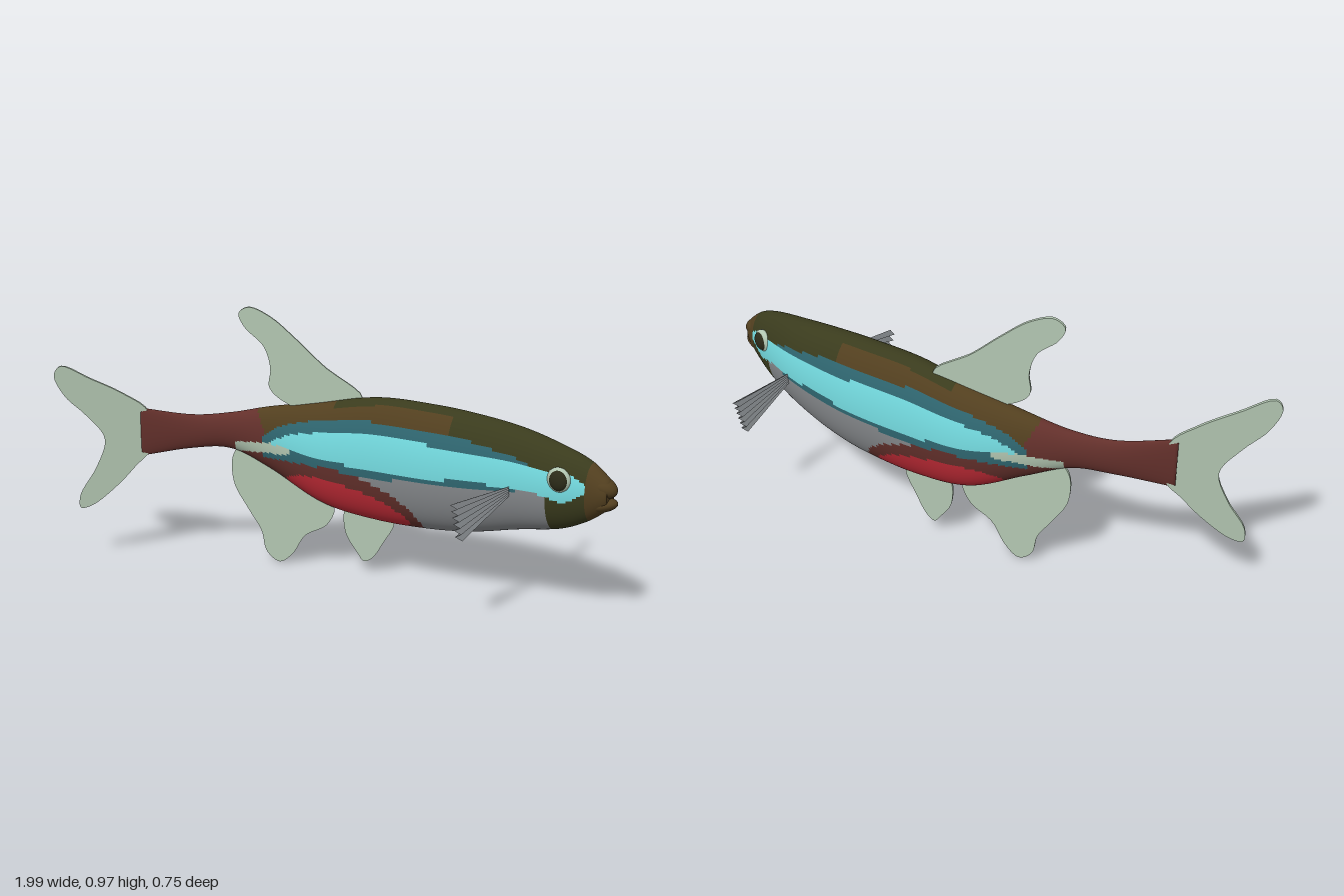
import * as THREE from 'three';

const mat = (name, color, side = THREE.FrontSide) => {
  const m = new THREE.MeshStandardMaterial({ color, side });
  m.name = name;
  return m;
};

// Piecewise linear lookup in a list of [x, y] points
function at(pts, x) {
  if (x <= pts[0][0]) return pts[0][1];
  for (let i = 1; i < pts.length; i++) {
    const [x0, y0] = pts[i - 1], [x1, y1] = pts[i];
    if (x <= x1) return y0 + (y1 - y0) * (x - x0) / (x1 - x0);
  }
  return pts[pts.length - 1][1];
}

// Body stations: x, z of the spine, half width, top, bottom
const STATIONS = [
  [-0.69, -0.347, 0.012, 0.585, 0.40], [-0.5, -0.357, 0.022, 0.56, 0.43],
  [-0.35, -0.35, 0.034, 0.572, 0.433], [-0.2, -0.325, 0.056, 0.603, 0.365],
  [0, -0.263, 0.086, 0.638, 0.255], [0.2, -0.18, 0.102, 0.677, 0.22],
  [0.4, -0.087, 0.108, 0.675, 0.22], [0.55, -0.01, 0.103, 0.662, 0.24],
  [0.69, 0.07, 0.092, 0.64, 0.278], [0.82, 0.165, 0.073, 0.605, 0.315],
  [0.9, 0.222, 0.055, 0.572, 0.36], [0.95, 0.258, 0.04, 0.53, 0.405],
  [0.965, 0.268, 0.03, 0.512, 0.425],
];
const spine = new THREE.CatmullRomCurve3(
  STATIONS.map(s => new THREE.Vector3(s[0], 0, s[1])), false, 'catmullrom', 0.5);
const sizes = new THREE.CatmullRomCurve3(
  STATIONS.map(s => new THREE.Vector3(s[2], s[3], s[4])), false, 'catmullrom', 0.5);

// Edges of the colour bands along the flank
const CYAN_TOP = [[-0.18, 0.49], [-0.1, 0.52], [0, 0.54], [0.1, 0.555], [0.25, 0.565], [0.45, 0.552], [0.65, 0.54], [0.75, 0.53], [0.86, 0.53], [0.91, 0.5]];
const CYAN_BOTTOM = [[-0.18, 0.475], [0.04, 0.443], [0.25, 0.432], [0.45, 0.44], [0.65, 0.45], [0.78, 0.445], [0.85, 0.425], [0.91, 0.47]];
const TEAL_TOP = [[-0.22, 0.5], [-0.15, 0.545], [0, 0.585], [0.2, 0.605], [0.4, 0.6], [0.55, 0.585], [0.7, 0.555], [0.77, 0.53]];
const TEAL_BOTTOM = [[-0.3, 0.42], [0, 0.415], [0.2, 0.405], [0.45, 0.42], [0.7, 0.44], [0.77, 0.45]];
const OLIVE = 0, BROWN = 1, TEAL = 2, CYAN = 3, GREY = 4, MAROON = 5, RED = 6, PALE = 7;

function skinColour(x, y, top) {
  const blob = (rx, ry) => ((x - 0.1) / rx) ** 2 + ((y - 0.285 + 0.18 * (x - 0.1)) / ry) ** 2 < 1;
  if (x > -0.18 && x < 0.91 && y < at(CYAN_TOP, x) && y > at(CYAN_BOTTOM, x)) return CYAN;
  if (x > -0.33 && x < -0.1 && Math.abs(y - 0.457 - 0.06 * (x + 0.2)) < 0.02) return PALE;
  if (x > -0.22 && x < 0.77 && y < at(TEAL_TOP, x) && y > at(TEAL_BOTTOM, x)) return TEAL;
  if (x > 0.91) return BROWN;
  if (x > 0.8) return OLIVE;
  if (y > 0.48) {
    if (x < -0.24 + 0.5 * (0.58 - y)) return MAROON;
    return x > 0.48 || (x > 0.05 && y > top - 0.02) ? OLIVE : BROWN;
  }
  if (blob(0.235, 0.075)) return RED;
  return x < -0.02 || blob(0.28, 0.13) ? MAROON : GREY;
}

// Lofted body, each small face sorted into a colour group
function bodyGeometry() {
  const rings = 220, sides = 96, pos = [], info = [], buckets = Array.from({ length: 8 }, () => []);
  for (let k = -1; k <= rings + 1; k++) {
    const t = Math.min(Math.max(k / rings, 0), 1);
    const shut = k < 0 || k > rings ? 0.001 : 1;
    const c = spine.getPoint(t), s = sizes.getPoint(t), d = spine.getTangent(t);
    const mid = (s.y + s.z) / 2, h = (s.y - s.z) / 2 * shut, w = s.x * shut;
    for (let j = 0; j < sides; j++) {
      const a = j / sides * Math.PI * 2, side = w * Math.cos(a);
      pos.push(c.x - d.z * side, mid + h * Math.sin(a), c.z + d.x * side);
      info.push([c.x, mid + h * Math.sin(a), s.y]);
    }
  }
  for (let i = 0; i < rings + 2; i++) for (let j = 0; j < sides; j++) {
    const n = (j + 1) % sides;
    const a = i * sides + j, b = a + sides, c = i * sides + n, d = c + sides;
    const p = info[a], q = info[d];
    buckets[skinColour((p[0] + q[0]) / 2, (p[1] + q[1]) / 2, p[2])].push(a, b, c, b, d, c);
  }
  const g = new THREE.BufferGeometry();
  g.setAttribute('position', new THREE.Float32BufferAttribute(pos, 3));
  g.setIndex(buckets.flat());
  let start = 0;
  buckets.forEach((list, m) => { g.addGroup(start, list.length, m); start += list.length; });
  g.computeVertexNormals();
  return g;
}

// Thin upright fin from a smooth outline, sheared to follow the bent body
function finGeometry(outline, x0, z0, slope) {
  const pts = new THREE.CatmullRomCurve3(outline.map(p => new THREE.Vector3(p[0], p[1], 0)), true)
    .getPoints(70).slice(0, -1).map(p => new THREE.Vector2(p.x, p.y));
  const g = new THREE.ExtrudeGeometry(new THREE.Shape(pts), { depth: 0.012, bevelEnabled: false });
  const p = g.attributes.position;
  for (let i = 0; i < p.count; i++) p.setZ(i, p.getZ(i) - 0.006 + z0 + slope * (p.getX(i) - x0));
  g.computeVertexNormals();
  return g;
}

// Pleated fan from a narrow root to a wide tip
function fanGeometry(root, tip) {
  const folds = 12, pos = [], idx = [];
  const dx = tip[0] - root[0], dz = tip[1] - root[1], len = Math.hypot(dx, dz);
  for (let i = 0; i <= folds; i++) {
    const t = i / folds, s = i % 2 ? 1 : -1, reach = 1 - 0.12 * t + 0.012 * s;
    const ox = -dz / len * s, oz = dx / len * s;
    pos.push(root[0] + ox * 0.003, 0.455 - 0.03 * t, root[1] + oz * 0.003);
    pos.push(root[0] + dx * reach + ox * 0.011, 0.465 - 0.14 * t, root[1] + dz * reach + oz * 0.011);
    if (i) idx.push(2 * i - 2, 2 * i - 1, 2 * i, 2 * i - 1, 2 * i + 1, 2 * i);
  }
  let g = new THREE.BufferGeometry();
  g.setAttribute('position', new THREE.Float32BufferAttribute(pos, 3));
  g.setIndex(idx);
  g = g.toNonIndexed();
  g.computeVertexNormals();
  return g;
}

export function createModel() {
  const fish = new THREE.Group();
  fish.name = 'fish';
  const skin = [
    mat('olive', 0x3a3b1d), mat('brown', 0x523f1f), mat('teal', 0x2f6670), mat('cyan', 0x74dbe0),
    mat('silver grey', 0x86898c), mat('maroon', 0x63302b), mat('red', 0xbe2a35),
    mat('pale green', 0xb2c6b1, THREE.DoubleSide),
  ];
  const finGrey = mat('fin grey', 0x74787b, THREE.DoubleSide);
  const dark = mat('pupil', 0x2c2b19);
  const add = (name, geometry, material, parent = fish) => {
    const m = new THREE.Mesh(geometry, material);
    m.name = name;
    parent.add(m);
    return m;
  };

  add('body', bodyGeometry(), skin);

  // Upright fins
  add('tailFin', finGeometry([[-0.66, 0.57], [-0.75, 0.64], [-0.87, 0.7], [-0.975, 0.748], [-1, 0.715],
    [-0.965, 0.635], [-0.89, 0.56], [-0.825, 0.47], [-0.86, 0.36], [-0.925, 0.25], [-0.925, 0.2],
    [-0.88, 0.21], [-0.78, 0.29], [-0.71, 0.365], [-0.66, 0.42]], -0.66, -0.35, -0.118), skin[PALE]);
  add('dorsalFin', finGeometry([[0.14, 0.665], [0, 0.77], [-0.1, 0.86], [-0.2, 0.94], [-0.28, 0.97],
    [-0.317, 0.945], [-0.295, 0.895], [-0.225, 0.83], [-0.2, 0.75], [-0.205, 0.68], [-0.17, 0.64],
    [-0.07, 0.6], [0.08, 0.62]], 0.14, -0.225, 0.27), skin[PALE]);
  add('analFin', finGeometry([[-0.345, 0.41], [-0.345, 0.3], [-0.29, 0.2], [-0.24, 0.12], [-0.22, 0.04],
    [-0.17, 0.003], [-0.12, 0.04], [-0.07, 0.12], [0.01, 0.17], [0.04, 0.24], [0, 0.28],
    [-0.18, 0.39], [-0.3, 0.45]], -0.17, -0.305, 0.3), skin[PALE]);
  add('pelvicFin', finGeometry([[0.085, 0.25], [0.08, 0.15], [0.125, 0.075], [0.15, 0.045], [0.18, 0.06],
    [0.22, 0.125], [0.26, 0.22], [0.17, 0.26]], 0.16, -0.21, 0.42), skin[PALE]);

  // Pleated side fins
  add('rightPectoralFin', fanGeometry([0.65, 0.14], [0.447, 0.363]), finGrey);
  add('leftPectoralFin', fanGeometry([0.73, 0.01], [0.85, -0.24]), finGrey);

  // Head parts sit in a frame turned along the snout (local +x points forward)
  const head = new THREE.Group();
  head.name = 'head';
  head.position.set(0.835, 0.505, 0.175);
  head.rotation.y = -0.61;
  fish.add(head);
  const ball = new THREE.SphereGeometry(1, 28, 20);
  for (const [side, label] of [[1, 'right'], [-1, 'left']]) {
    const ring = add(label + 'Eye', ball, skin[PALE], head);
    ring.position.set(0, 0, side * 0.063);
    ring.scale.set(0.043, 0.043, 0.021);
    const pupil = add(label + 'Pupil', ball, dark, head);
    pupil.position.set(0.003, 0, side * 0.071);
    pupil.scale.set(0.034, 0.036, 0.018);
  }
  const upper = add('upperLip', ball, skin[BROWN], head);
  upper.position.set(0.125, -0.012, 0);
  upper.scale.set(0.058, 0.034, 0.042);
  upper.rotation.z = -0.35;
  const lower = add('lowerLip', ball, skin[BROWN], head);
  lower.position.set(0.125, -0.078, 0);
  lower.scale.set(0.062, 0.025, 0.038);
  lower.rotation.z = 0.25;
  return fish;
}
